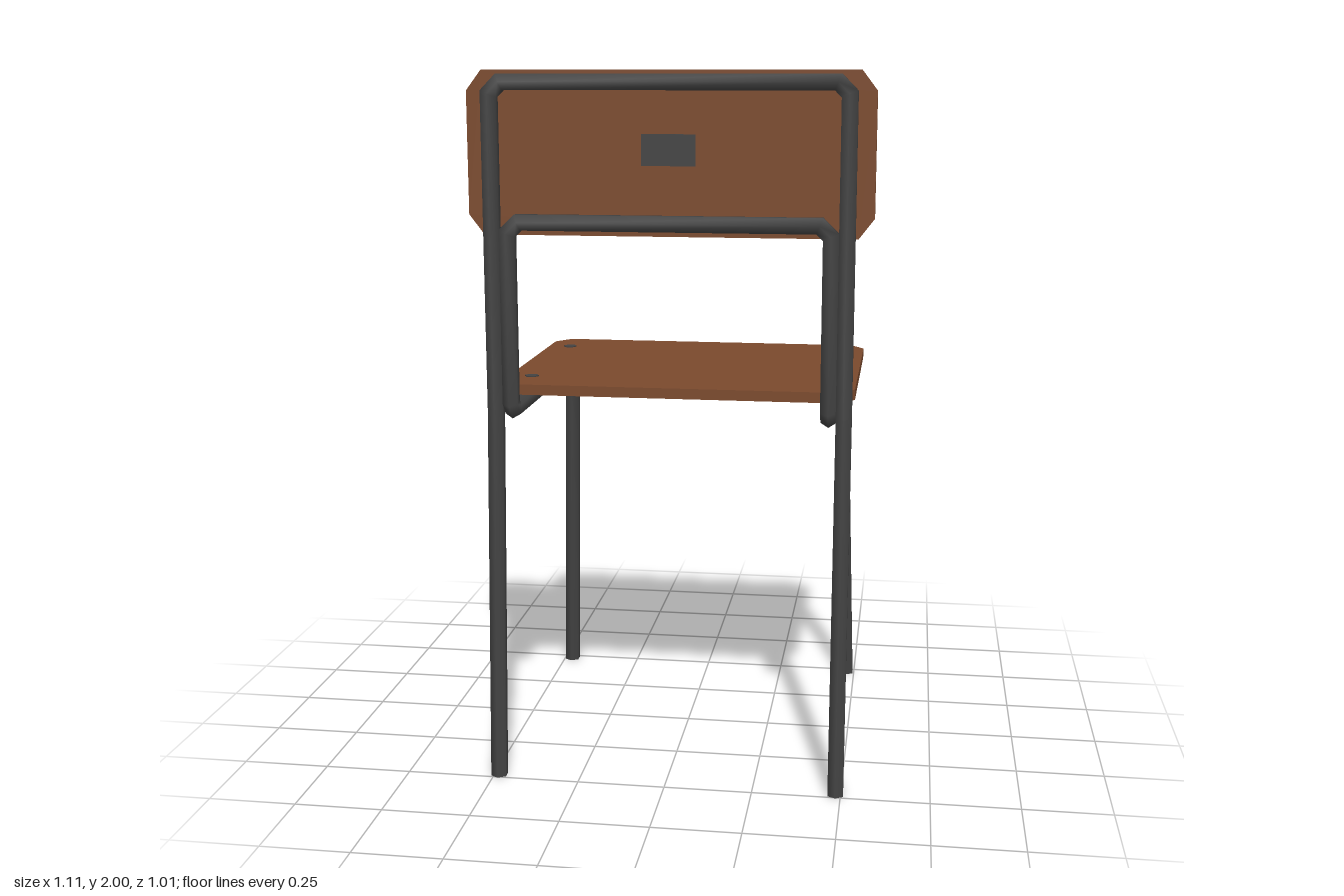
import * as THREE from 'three';

const SIDES = 6, RADIUS = 0.025;

// Hexagonal tube swept along a half path and its mirror image, with mitred bends
function frameTube(half) {
  const pts = half.map(p => new THREE.Vector3(...p));
  pts.push(...pts.slice().reverse().map(p => new THREE.Vector3(-p.x, p.y, p.z)));
  const last = pts.length - 1;
  const dir = i => pts[i + 1].clone().sub(pts[i]).normalize();
  let ring = Array.from({ length: SIDES }, (_, j) => {
    const a = j / SIDES * Math.PI * 2;
    return new THREE.Vector3(Math.sin(a) * RADIUS, 0, Math.cos(a) * RADIUS).add(pts[0]);
  });
  const rings = [ring];
  for (let i = 1; i <= last; i++) {
    const d = dir(i - 1);
    // Feet are cut level with the floor, bends on the bisecting plane
    const n = i === last ? new THREE.Vector3(0, -1, 0) : d.clone().add(dir(i)).normalize();
    ring = ring.map(v => v.clone().addScaledVector(d, pts[i].clone().sub(v).dot(n) / d.dot(n)));
    rings.push(ring);
  }
  const pos = rings.flat(), index = [];
  for (let i = 0; i < last; i++) {
    for (let j = 0; j < SIDES; j++) {
      const a = i * SIDES + j, b = i * SIDES + (j + 1) % SIDES;
      index.push(a, b, a + SIDES, b, b + SIDES, a + SIDES);
    }
  }
  // Foot caps with their own vertices
  const s = pos.length, e = s + SIDES;
  pos.push(...rings[0], ...rings[last]);
  for (let j = 1; j < SIDES - 1; j++) index.push(s, s + j + 1, s + j, e, e + j, e + j + 1);
  const g = new THREE.BufferGeometry().setFromPoints(pos);
  g.setIndex(index);
  g.computeVertexNormals();
  return g;
}

// Flat board with cut corners, lying in XY and centred on the origin
function board(w, h, depth, cx, cy) {
  const x = w / 2, y = h / 2;
  const outline = [[x - cx, -y], [x, cy - y], [x, y - cy], [x - cx, y],
    [cx - x, y], [-x, y - cy], [-x, cy - y], [cx - x, -y]];
  const shape = new THREE.Shape(outline.map(p => new THREE.Vector2(...p)));
  return new THREE.ExtrudeGeometry(shape, { depth, bevelEnabled: false }).translate(0, 0, -depth / 2);
}

export function createModel() {
  const wood = new THREE.MeshStandardMaterial({ name: 'brown wood', color: 0x7b4a2d });
  const metal = new THREE.MeshStandardMaterial({ name: 'dark metal', color: 0x434343 });
  const chair = new THREE.Group();
  chair.name = 'chair';
  const add = (name, geometry, material, x = 0, y = 0, z = 0) => {
    const mesh = new THREE.Mesh(geometry, material);
    mesh.name = name;
    mesh.position.set(x, y, z);
    chair.add(mesh);
    return mesh;
  };

  // Outer frame: rear legs, uprights and top rail
  add('outerFrame', frameTube([
    [0.4855, 0, 0.48], [0.4855, 1.07, 0.415], [0.4855, 1.937, 0.415], [0.455, 1.968, 0.415],
  ]), metal);

  // Inner frame: seat-side legs, seat rails, short uprights and lower rail
  add('innerFrame', frameTube([
    [0.474, 0, -0.476], [0.4425, 1.035, -0.404], [0.4425, 1.065, -0.375],
    [0.4425, 1.065, 0.39], [0.4425, 1.09, 0.415], [0.4425, 1.562, 0.415], [0.412, 1.592, 0.415],
  ]), metal);

  // Seat and backrest boards
  add('seat', board(1.018, 0.815, 0.03, 0.042, 0.058).rotateX(-Math.PI / 2), wood, 0, 1.105, -0.0985);
  add('backrest', board(1.112, 0.445, 0.03, 0.042, 0.055), wood, 0, 1.7775, 0.373);

  // Plain plate on the rear of the backrest
  add('rearPlate', new THREE.BoxGeometry(0.148, 0.085, 0.004), metal, 0, 1.788, 0.389);

  // Hexagonal bolt heads
  const bolt = new THREE.CylinderGeometry(0.021, 0.021, 0.006, 6).rotateY(Math.PI / 6);
  const backBolt = bolt.clone().rotateX(-Math.PI / 2);
  for (const side of [1, -1]) {
    for (const z of [-0.355, 0.176]) add('seatBolt', bolt, metal, side * 0.44, 1.12, z);
    for (const y of [1.94, 1.595]) add('backrestBolt', backBolt, metal, side * 0.485, y, 0.358);
  }
  return chair;
}
